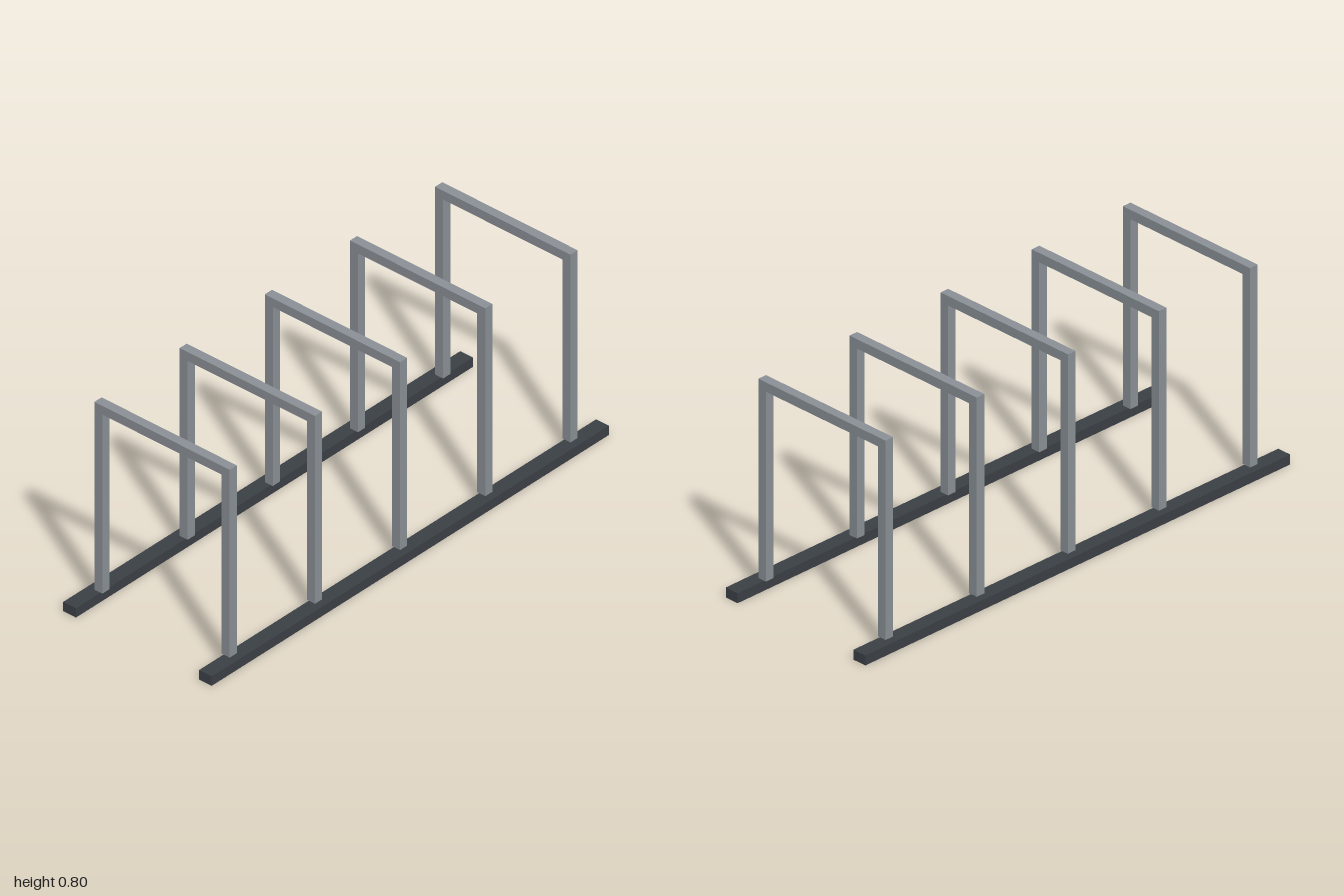
import * as THREE from 'three';

const RAIL = { length: 2, height: 0.038, depth: 0.057, z: 0.305 };
const HOOP = { top: 0.8, halfDepth: 0.304, bar: 0.036, count: 5, spacing: 0.429 };

// Square-section hoop: an upside-down U in the z-y plane, extruded along x
function hoopGeometry() {
  const { top, halfDepth: d, bar } = HOOP;
  const base = RAIL.height;
  const outline = [
    [-d, base], [-d + bar, base], [-d + bar, top - bar], [d - bar, top - bar],
    [d - bar, base], [d, base], [d, top], [-d, top],
  ].map(([x, y]) => new THREE.Vector2(x, y));
  const geometry = new THREE.ExtrudeGeometry(new THREE.Shape(outline), { depth: bar, bevelEnabled: false });
  return geometry.translate(0, 0, -bar / 2).rotateY(Math.PI / 2);
}

export function createModel() {
  const steel = new THREE.MeshStandardMaterial({ color: 0x8a9096 });
  steel.name = 'grey steel';
  const darkSteel = new THREE.MeshStandardMaterial({ color: 0x3b4045 });
  darkSteel.name = 'dark steel';

  const rack = new THREE.Group();
  rack.name = 'bikeRack';

  // Two ground rails
  const railGeometry = new THREE.BoxGeometry(RAIL.length, RAIL.height, RAIL.depth);
  for (const [name, side] of [['frontRail', 1], ['backRail', -1]]) {
    const rail = new THREE.Mesh(railGeometry, darkSteel);
    rail.name = name;
    rail.position.set(0, RAIL.height / 2, side * RAIL.z);
    rack.add(rail);
  }

  // Evenly spaced hoops standing on the rails
  const geometry = hoopGeometry();
  for (let i = 0; i < HOOP.count; i++) {
    const hoop = new THREE.Mesh(geometry, steel);
    hoop.name = `hoop${i + 1}`;
    hoop.position.x = (i - (HOOP.count - 1) / 2) * HOOP.spacing;
    rack.add(hoop);
  }

  return rack;
}
